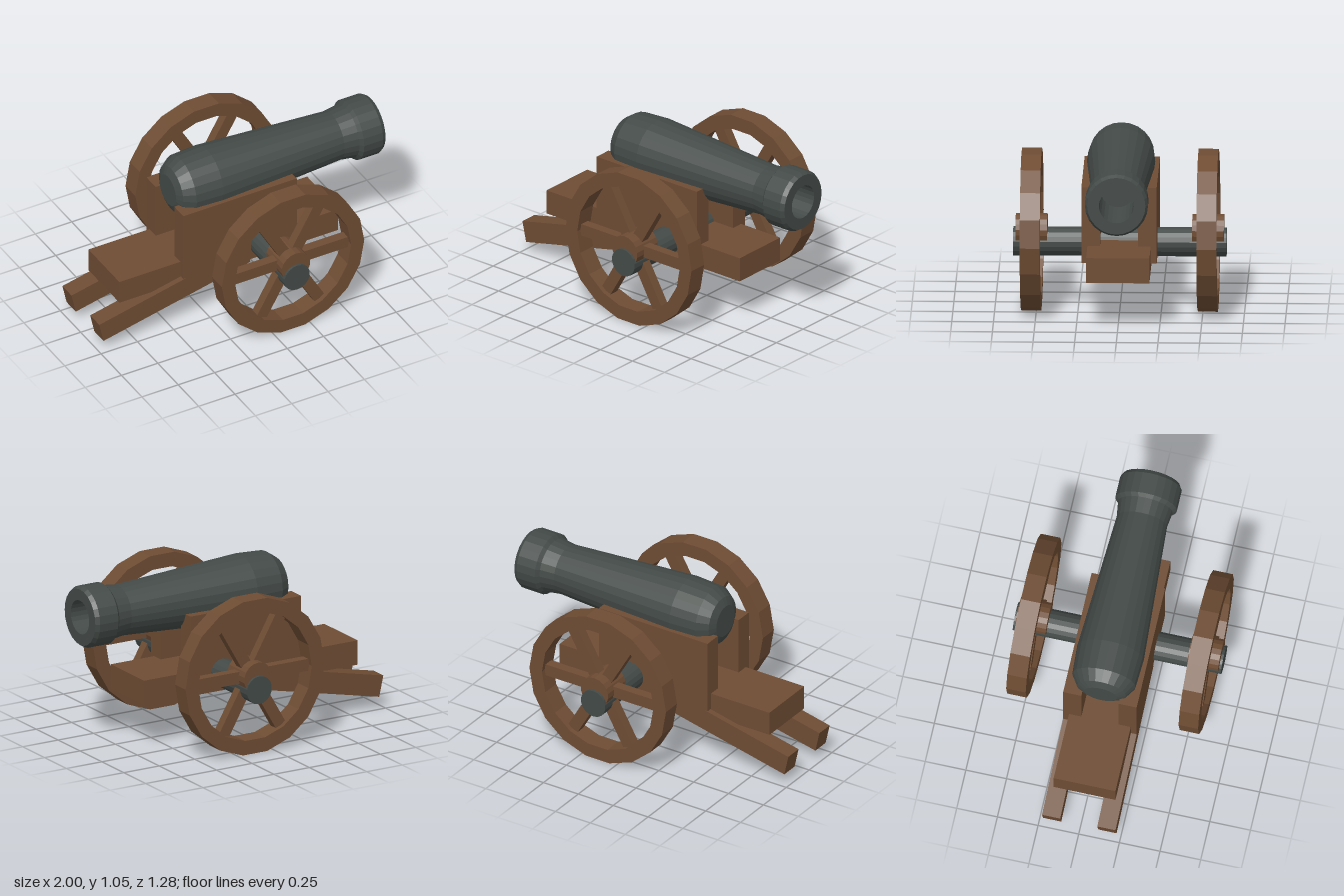
import * as THREE from 'three';

const wood = new THREE.MeshStandardMaterial({ color: 0x6e4c33, flatShading: true });
const iron = new THREE.MeshStandardMaterial({ color: 0x434a47, flatShading: true });

function add(parent, name, geometry, material, x = 0, y = 0, z = 0) {
  const mesh = new THREE.Mesh(geometry, material);
  mesh.name = name;
  mesh.position.set(x, y, z);
  parent.add(mesh);
  return mesh;
}

// Cylinder lying along z
const rod = (radius, length, sides) =>
  new THREE.CylinderGeometry(radius, radius, length, sides).rotateX(Math.PI / 2);

function createWheel() {
  const wheel = new THREE.Group();
  wheel.name = 'wheel';
  const outer = 0.49, inner = 0.4, half = 0.06;

  // Rim: closed rectangular section turned in 18 steps
  const section = [[inner, -half], [outer, -half], [outer, half], [inner, half], [inner, -half]]
    .map(([r, h]) => new THREE.Vector2(r, h));
  // Quarter turn in the lathe puts a rim corner on the x axis
  const rim = new THREE.LatheGeometry(section, 18, Math.PI / 2).rotateX(Math.PI / 2);
  add(wheel, 'rim', rim, wood);
  add(wheel, 'hub', rod(0.098, 0.19, 18), wood);

  // Six spokes from hub to rim
  for (let i = 0; i < 6; i++) {
    const spoke = new THREE.BoxGeometry(0.36, 0.075, 0.06).translate(0.225, 0, 0);
    add(wheel, 'spoke', spoke, wood).rotation.z = i * Math.PI / 3;
  }
  return wheel;
}

export function createModel() {
  const cannon = new THREE.Group();
  cannon.name = 'cannon';

  // Barrel: breech, taper, muzzle ring and bore, turned about x
  const profile = [
    [0, -0.4], [0.1, -0.4], [0.15, -0.377], [0.195, -0.31], [0.205, -0.13],
    [0.155, 0.73], [0.168, 0.825], [0.19, 0.845], [0.19, 0.975], [0.175, 1.0],
    [0.105, 1.0], [0.105, 0.6], [0, 0.6],
  ].map(([r, h]) => new THREE.Vector2(r, h));
  const barrel = new THREE.LatheGeometry(profile, 24).rotateZ(-Math.PI / 2);
  add(cannon, 'barrel', barrel, iron, 0, 0.845, 0);

  // Carriage bed and axle
  add(cannon, 'bed', new THREE.BoxGeometry(1.505, 0.153, 0.38), wood, -0.0875, 0.3635, 0);
  add(cannon, 'axle', rod(0.088, 1.28, 18), iron, 0.13, 0.413, 0);

  for (const side of [1, -1]) {
    // Upright cheek beside the barrel
    add(cannon, 'cheek', new THREE.BoxGeometry(0.78, 0.467, 0.112), wood, -0.03, 0.5685, side * 0.17);

    // Sloping trail beam, pivoted at its lower rear corner
    const trail = new THREE.BoxGeometry(1.035, 0.133, 0.112).translate(0.5175, 0.0665, 0);
    add(cannon, 'trail', trail, wood, -0.97, 0.072, side * 0.17).rotation.z = 0.219;

    const wheel = createWheel();
    wheel.position.set(0.13, 0.485, side * 0.53);
    cannon.add(wheel);
  }
  return cannon;
}
